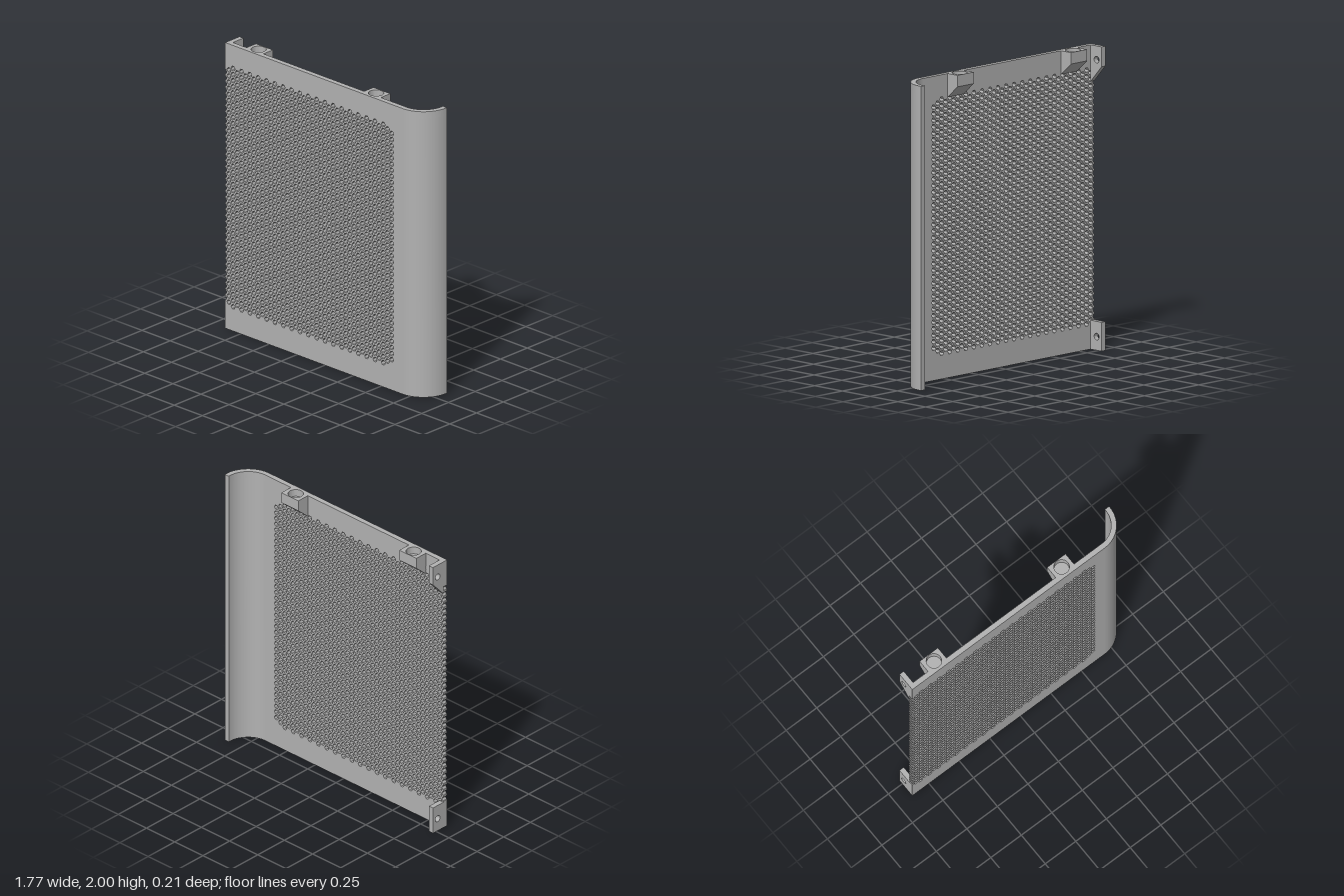
import * as THREE from 'three';
import { toCreasedNormals } from 'three/addons/utils/BufferGeometryUtils.js';

const LEFT = -0.887, RIGHT = 0.887, FRONT = 0.104, BACK = -0.104, T = 0.035;
const INNER = FRONT - T;            // rear face of the sheet
const BEND_X = 0.69, BEND_R = RIGHT - BEND_X, BEND_Z = FRONT - BEND_R;
const TOP = 2, CAP = 1.95;          // the cap strip holds the pin sockets
const TAB_BACK = -0.03, LUG_BACK = -0.02, LUG_HALF = 0.075;
const LUGS = [-0.655, 0.39];
const COL = 0.0371, ROW = 0.0428, HEX = 0.0175, FLAT = HEX * Math.sqrt(3) / 2, Y0 = 0.17;

const grey = new THREE.MeshStandardMaterial({ color: 0xb2b2b2 });
grey.name = 'grey plastic';

const shapeOf = (pts) => new THREE.Shape(pts.map(([x, y]) => new THREE.Vector2(x, y)));

function add(group, name, geometry) {
  const mesh = new THREE.Mesh(geometry, grey);
  mesh.name = name;
  group.add(mesh);
}

function extrude(shape, depth) {
  return new THREE.ExtrudeGeometry(shape, { depth, bevelEnabled: false, curveSegments: 24 });
}

// Plan shapes use (x, -z) and rise along y
function rise(shape, y0, y1) {
  const g = extrude(shape, y1 - y0).rotateX(-Math.PI / 2).translate(0, y0, 0);
  return toCreasedNormals(g, 0.5);
}

// Side profiles use (-z, y) and run along x
function across(shape, x0, x1) {
  const g = extrude(shape, x1 - x0).rotateY(Math.PI / 2).translate(x0, 0, 0);
  return toCreasedNormals(g, 0.5);
}

function circleHole(shape, x, y, r) {
  const hole = new THREE.Path();
  hole.absarc(x, y, r, 0, Math.PI * 2, true);
  shape.holes.push(hole);
}

// Adds the quarter-round edge to a plan outline, outer side then inner side
function traceBend(shape) {
  shape.lineTo(BEND_X, -FRONT);
  shape.absarc(BEND_X, -BEND_Z, BEND_R, -Math.PI / 2, 0, false);
  shape.lineTo(RIGHT, -BACK);
  shape.lineTo(RIGHT - T, -BACK);
  shape.absarc(BEND_X, -BEND_Z, BEND_R - T, 0, -Math.PI / 2, true);
}

// Flat sheet with a honeycomb of holes that runs out at its left edge
function perforatedPanel() {
  const pts = [[LEFT, CAP], [LEFT, 0], [BEND_X, 0], [BEND_X, CAP]].slice(1);
  pts.push([LEFT, CAP]);
  const cx = -24 * COL;
  for (let r = 38; r >= 1; r--) {
    const y = Y0 + r * ROW;
    pts.push([LEFT, y + FLAT], [cx + HEX / 2, y + FLAT], [cx + HEX, y],
      [cx + HEX / 2, y - FLAT], [LEFT, y - FLAT]);
  }
  const shape = shapeOf(pts);
  for (let k = -23; k <= 16; k++) {
    const odd = k % 2 !== 0;
    const first = k === 16 ? 1 : 0;
    const last = odd || k === 16 ? 38 : 39;
    for (let r = first; r <= last; r++) {
      const y = Y0 + (r + (odd ? 0.5 : 0)) * ROW;
      const hex = [];
      for (let i = 0; i < 6; i++) {
        const a = -i * Math.PI / 3;
        hex.push(new THREE.Vector2(k * COL + HEX * Math.cos(a), y + HEX * Math.sin(a)));
      }
      shape.holes.push(new THREE.Path(hex));
    }
  }
  return extrude(shape, T).translate(0, 0, INNER);
}

// Top strip: sheet, bend, lugs and tab in one plan outline with pin sockets
function capStrip() {
  const s = new THREE.Shape();
  s.moveTo(LEFT, -FRONT);
  traceBend(s);
  for (const x of [...LUGS].reverse()) {
    s.lineTo(x + LUG_HALF, -INNER);
    s.lineTo(x + LUG_HALF, -LUG_BACK);
    s.lineTo(x - LUG_HALF, -LUG_BACK);
    s.lineTo(x - LUG_HALF, -INNER);
  }
  s.lineTo(LEFT + T, -INNER);
  s.lineTo(LEFT + T, -TAB_BACK);
  s.lineTo(LEFT, -TAB_BACK);
  for (const x of LUGS) circleHole(s, x, -0.035, 0.05);
  return rise(s, CAP, TOP);
}

export function createModel() {
  const model = new THREE.Group();
  model.name = 'perforatedCover';

  add(model, 'perforatedPanel', perforatedPanel());
  add(model, 'topStrip', capStrip());

  // Rounded side edge
  const bend = new THREE.Shape();
  bend.moveTo(BEND_X, -INNER);
  traceBend(bend);
  add(model, 'curvedEdge', rise(bend, 0, CAP));

  // Sloped undersides of the socket lugs
  for (const x of LUGS) {
    const wedge = shapeOf([[-INNER, CAP], [-INNER, 1.845], [-LUG_BACK, 1.925], [-LUG_BACK, CAP]]);
    add(model, 'socketLug', across(wedge, x - LUG_HALF, x + LUG_HALF));
  }

  // Screw tabs behind the left edge
  const upper = shapeOf([[-INNER, CAP], [-INNER, 1.76], [-TAB_BACK, 1.87], [-TAB_BACK, CAP]]);
  circleHole(upper, -0.015, 1.91, 0.022);
  add(model, 'upperTab', across(upper, LEFT, LEFT + T));

  const lower = shapeOf([[-INNER, 0], [-TAB_BACK, 0], [-TAB_BACK, 0.19], [-INNER, 0.19]]);
  circleHole(lower, -0.015, 0.09, 0.022);
  add(model, 'lowerTab', across(lower, LEFT, LEFT + T));

  return model;
}
